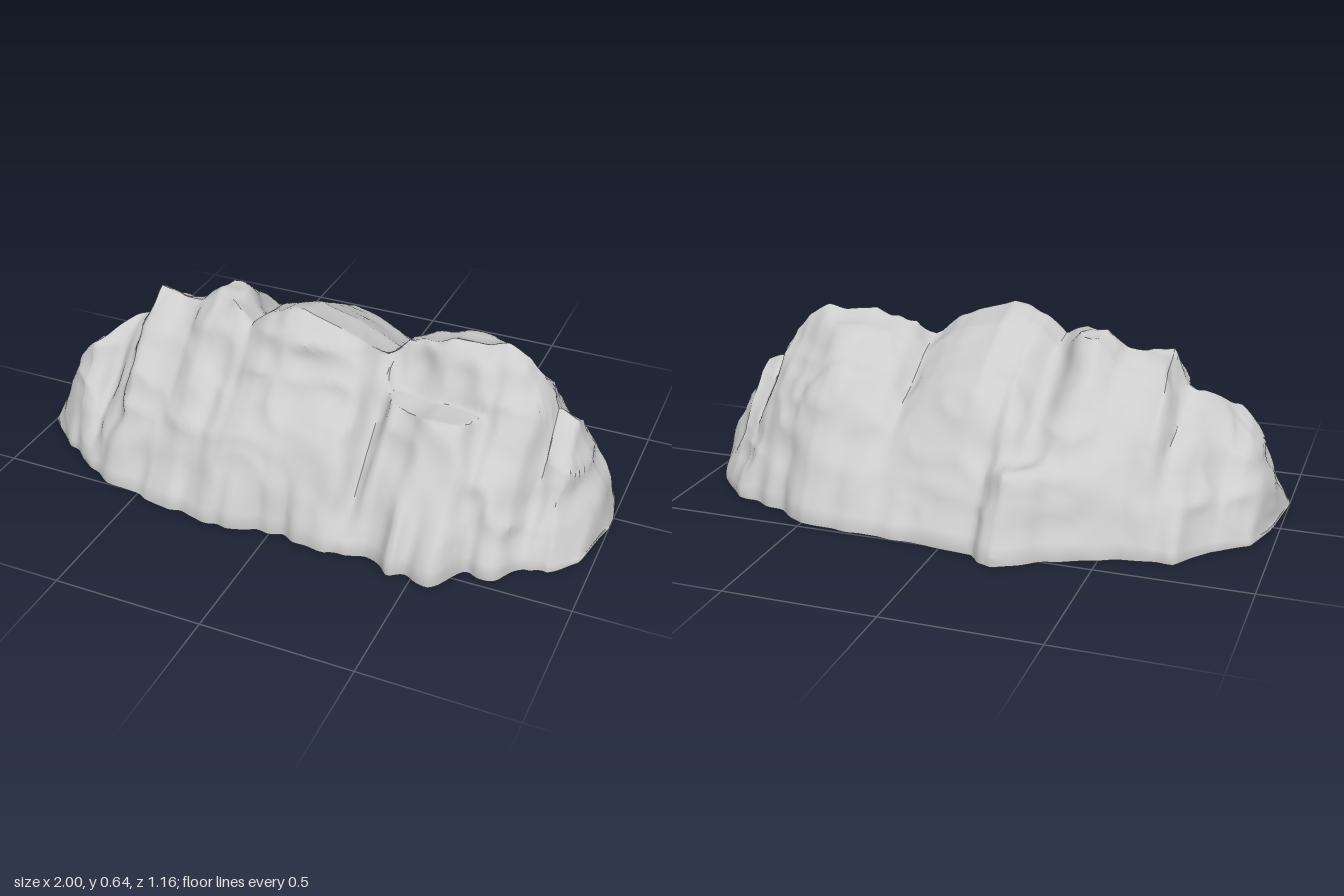
import * as THREE from 'three';
import { toCreasedNormals } from 'three/addons/utils/BufferGeometryUtils.js';

// Control curves along x: [x, value]
const FRONT = [[-1, .23], [-.9, .32], [-.8, .39], [-.6, .51], [-.4, .53], [-.2, .56], [0, .52], [.2, .54], [.33, .5], [.42, .53],
  [.56, .52], [.66, .45], [.75, .42], [.81, .36], [.88, .36], [.96, .27], [.985, .12], [1, .06]];
const BACK = [[-1, .2], [-.975, -.02], [-.93, -.17], [-.82, -.26], [-.73, -.38], [-.55, -.41], [-.35, -.5], [-.2, -.585], [-.15, -.57],
  [-.12, -.52], [.1, -.5], [.5, -.475], [.6, -.4], [.8, -.34], [.93, -.2], [.98, -.1], [1, 0]];
const RIDGE_Y = [[-1, 0], [-.97, .09], [-.92, .22], [-.88, .31], [-.8, .36], [-.72, .42], [-.66, .45], [-.62, .57], [-.52, .54], [-.45, .54],
  [-.38, .6], [-.3, .59], [-.22, .54], [-.15, .6], [-.03, .64], [.1, .6], [.24, .53], [.3, .58], [.4, .575], [.45, .6], [.56, .59],
  [.62, .61], [.7, .59], [.75, .54], [.79, .42], [.87, .38], [.9, .27], [.96, .15], [1, 0]];
const RIDGE_Z = [[-1, .21], [-.95, .08], [-.82, .18], [-.7, .06], [-.5, .08], [-.36, .09], [-.25, .16], [0, .17], [.18, .17], [.28, .09],
  [.45, .08], [.62, .05], [.75, .03], [.85, .05], [1, .03]];

// Slope profiles: [0 at foot .. 1 at ridge, fraction of ridge height]
const FRONT_SLOPE = [[0, .06], [.06, .15], [.16, .29], [.3, .46], [.46, .61], [.64, .73], [.83, .91], [1, 1]];
const BACK_SLOPE = [[0, .06], [.06, .16], [.14, .29], [.28, .5], [.36, .61], [.5, .74], [.65, .86], [.8, .95], [1, 1]];

// Swellings and hollows: x, z, rise, radius x, radius z, turn
const BUMPS = [
  [-.22, -.49, .09, .18, .12, .6], [-.38, -.38, .05, .2, .12, .5], [-.88, .24, .03, .14, .14, .2], [.48, -.25, .04, .18, .1, .4],
  [-.35, .02, .04, .12, .1, .5], [.48, .27, .05, .24, .13, 0], [.73, -.13, -.1, .22, .24, 0], [0, -.25, .03, .32, .24, 0],
  [-.62, -.07, -.05, .18, .18, 0], [.27, -.1, -.05, .12, .3, 0], [-.25, -.15, -.04, .1, .26, 0]];

// Vertical clefts on the front face: x, width, depth
const CLEFTS = [[-.73, .03, .06], [-.29, .04, .04], [.26, .03, .07], [.61, .03, .05], [.79, .03, .04]];

// Boulders bulging from the front foot: x, width, reach
const FOOT_BOULDERS = [[.43, .03, .03], [.55, .055, .06], [.73, .045, .05]];

function curve(points, t) {
  for (let i = 1; i < points.length; i++) {
    const [a, va] = points[i - 1], [b, vb] = points[i];
    if (t <= b) return va + (vb - va) * Math.max(0, (t - a) / (b - a));
  }
  return points[points.length - 1][1];
}

const bell = (x, centre, width) => Math.exp(-(((x - centre) / width) ** 2));

// Repeatable smooth noise in -1..1
const { lerp, smoothstep } = THREE.MathUtils;
function hash(i, j, k) {
  const n = Math.sin(i * 127.1 + j * 311.7 + k * 74.7) * 43758.5453;
  return (n - Math.floor(n)) * 2 - 1;
}
function noise(x, y, z) {
  const i = Math.floor(x), j = Math.floor(y), k = Math.floor(z);
  const u = smoothstep(x - i, 0, 1), v = smoothstep(y - j, 0, 1), w = smoothstep(z - k, 0, 1);
  const layer = (m) => lerp(lerp(hash(i, j, m), hash(i + 1, j, m), u), lerp(hash(i, j + 1, m), hash(i + 1, j + 1, m), u), v);
  return lerp(layer(k), layer(k + 1), w);
}

// Height of the rock at x, z; s runs from foot to ridge
function rockHeight(x, z, s, isFront) {
  const top = curve(RIDGE_Y, x);
  let y = top * curve(isFront ? FRONT_SLOPE : BACK_SLOPE, s);
  const fade = Math.sin(Math.PI * s) * Math.min(1, top * 3);
  if (isFront) for (const [cx, w, d] of CLEFTS) y -= d * fade * bell(x, cx, w);
  for (const [bx, bz, rise, rx, rz, turn] of BUMPS) {
    const c = Math.cos(turn), n = Math.sin(turn), dx = x - bx, dz = z - bz;
    const d = ((dx * c - dz * n) / rx) ** 2 + ((dx * n + dz * c) / rz) ** 2;
    if (d < 1) y += rise * (1 - d) ** 2 * Math.min(1, s * 6);
  }
  // Ledge below the upright block
  if (x > .28 && x < .66 && z > .08) y = Math.min(y, .42 + 1.8 * Math.max(0, .19 - .03 * noise(x * 12, 0, 0) - z));
  return Math.max(Math.min(y, top), Math.min(top, .012));
}

// Push the surface in and out along its normals for a weathered look
function weather(geometry) {
  geometry.computeVertexNormals();
  const p = geometry.attributes.position, n = geometry.attributes.normal;
  for (let i = 0; i < p.count; i++) {
    const x = p.getX(i), y = p.getY(i), z = p.getZ(i);
    if (y < .013) continue;
    const d = Math.min(1, y * 6) * (.016 * noise(x * 6 + 3, y * 8, z * 6) + .012 * (.6 - 2 * Math.abs(noise(x * 8, y * 10 + 4, z * 8))));
    p.setXYZ(i, x + n.getX(i) * d, Math.max(.01, y + n.getY(i) * d * .6), z + n.getZ(i) * d);
  }
}

function createShell() {
  const NX = 170, NF = 44, NB = 50, row = NF + NB + 3;
  const pos = [], index = [];
  for (let i = 0; i <= NX; i++) {
    const t = i / NX * 2 - 1, x = .6 * t + .4 * Math.sin(t * Math.PI / 2);
    const end = 1 - Math.abs(x) ** 8;
    const front = curve(FRONT, x), back = curve(BACK, x), ridge = curve(RIDGE_Z, x);
    // Uneven outline that fades out above the foot
    const frontFoot = FOOT_BOULDERS.reduce((sum, [bx, w, reach]) => sum + reach * bell(x, bx, w), end * .014 * noise(x * 22, 1, 0));
    const backFoot = end * .01 * noise(x * 18, 9, 0);
    pos.push(x, 0, front + frontFoot);
    for (let j = 0; j <= NF + NB; j++) {
      const isFront = j <= NF, s = isFront ? j / NF : 1 - (j - NF) / NB;
      const z = lerp(isFront ? front : back, ridge, s);
      const spread = (isFront ? frontFoot : backFoot) * (1 - smoothstep(s, .04, .3));
      pos.push(x, rockHeight(x, z, s, isFront), z + spread);
    }
    pos.push(x, 0, back + backFoot);
  }
  for (let i = 0; i < NX; i++) {
    for (let j = 0; j < row - 1; j++) {
      const a = i * row + j, b = a + row;
      index.push(a, b, a + 1, b, b + 1, a + 1);
    }
    // Flat underside strip
    const f = i * row, k = f + row - 1;
    index.push(f, k, f + row, f + row, k, k + row);
  }
  const geometry = new THREE.BufferGeometry();
  geometry.setAttribute('position', new THREE.Float32BufferAttribute(pos, 3));
  geometry.setIndex(index);
  weather(geometry);
  return toCreasedNormals(geometry, .9);
}

export function createModel() {
  const stone = new THREE.MeshStandardMaterial({ color: 0xcccccc });
  stone.name = 'grey stone';
  const rock = new THREE.Mesh(createShell(), stone);
  rock.name = 'rock';
  const group = new THREE.Group();
  group.name = 'rockFormation';
  group.add(rock);
  return group;
}
